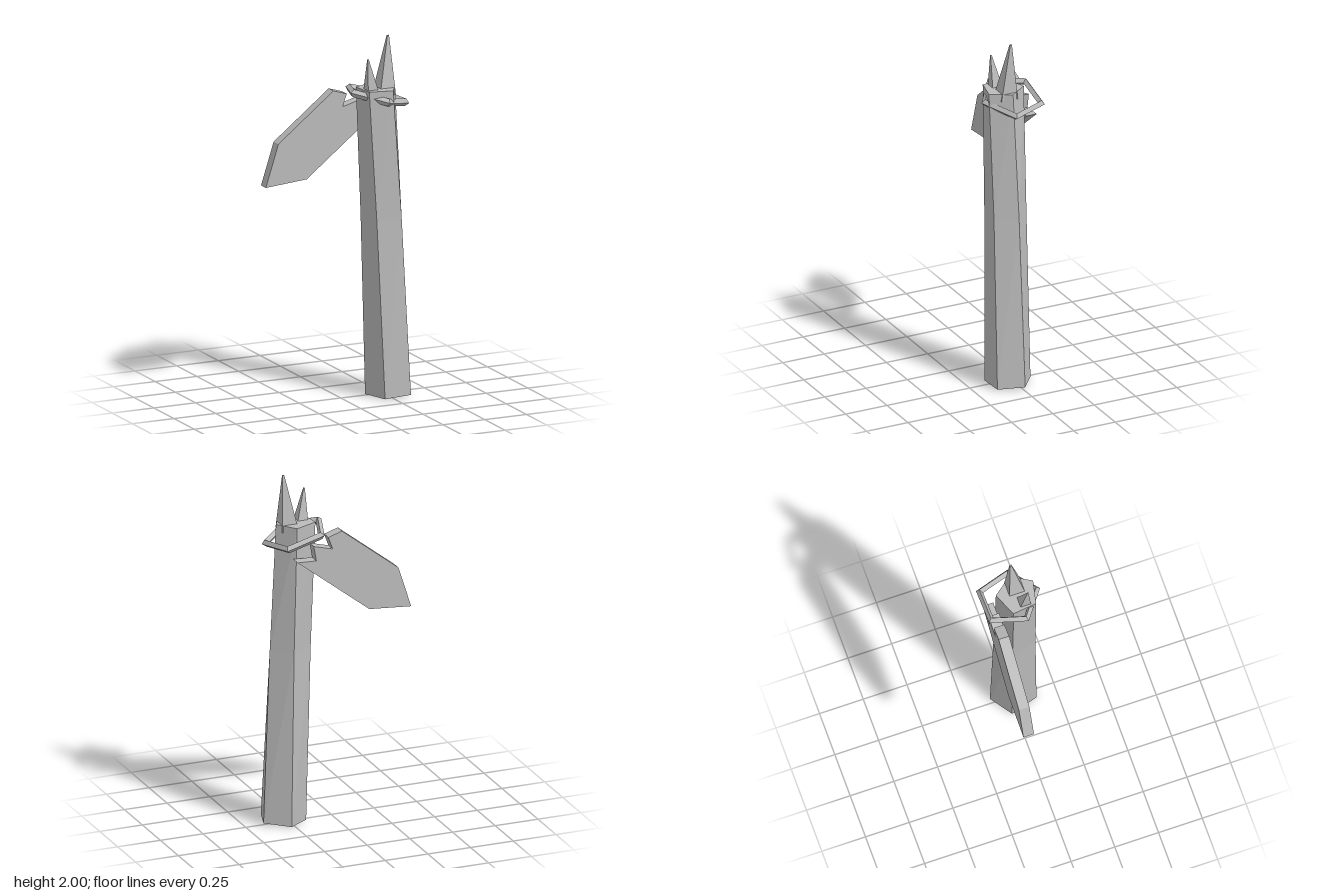
import * as THREE from 'three';

const grey = new THREE.MeshStandardMaterial({ color: 0xbbbbbb, side: THREE.DoubleSide });
grey.name = 'weathered grey';

function part(name, geometry) {
  const flat = geometry.index ? geometry.toNonIndexed() : geometry;
  flat.computeVertexNormals();
  const mesh = new THREE.Mesh(flat, grey);
  mesh.name = name;
  return mesh;
}

// Leaning five-sided post: capped on top, open underneath
function postGeometry() {
  const bottom = [[0.155, 0.003, -0.02], [0.2, 0.005, 0.135], [0.355, 0.012, 0.135], [0.4, 0.015, -0.01], [0.275, 0.008, -0.105]];
  const top = [[0.105, 1.72, -0.03], [0.12, 1.72, 0.105], [0.25, 1.72, 0.133], [0.315, 1.72, 0.02], [0.235, 1.72, -0.085]];
  // Slightly pinched middle
  const middle = bottom.map((p, i) => {
    const m = p.map((v, k) => (v + top[i][k]) / 2);
    return [m[0], 1.0, 0.015 + (m[2] - 0.015) * 0.96];
  });
  const rings = [bottom, middle, top];
  const pos = [];
  for (let r = 0; r < 2; r++) {
    for (let i = 0; i < 5; i++) {
      const j = (i + 1) % 5;
      const [a, b, c, d] = [rings[r][i], rings[r][j], rings[r + 1][j], rings[r + 1][i]];
      pos.push(...a, ...b, ...c, ...a, ...c, ...d);
    }
  }
  for (let i = 1; i < 4; i++) pos.push(...top[0], ...top[i], ...top[i + 1]);
  const g = new THREE.BufferGeometry();
  g.setAttribute('position', new THREE.Float32BufferAttribute(pos, 3));
  return g;
}

// Square splinter whose top is drawn in to an off-centre point
function spikeGeometry(x0, x1, z0, z1, baseY, apex) {
  const g = new THREE.BoxGeometry(x1 - x0, 1, z1 - z0);
  const p = g.attributes.position;
  for (let i = 0; i < p.count; i++) {
    if (p.getY(i) > 0) p.setXYZ(i, apex[0] + p.getX(i) * 0.1, apex[1], apex[2] + p.getZ(i) * 0.1);
    else p.setXYZ(i, (x0 + x1) / 2 + p.getX(i), baseY, (z0 + z1) / 2 + p.getZ(i));
  }
  return g;
}

// Slanting board with a pointed lower end and a splintered upper end
function boardGeometry() {
  const outline = [
    [0, 1.695], [-0.33, 1.435], [-0.405, 1.2], [-0.16, 1.22], [0.26, 1.55],
    [0.15, 1.545], [0.165, 1.63], [0.055, 1.6], [0.08, 1.67],
  ].map(([x, y]) => new THREE.Vector2(x, y));
  const g = new THREE.ExtrudeGeometry(new THREE.Shape(outline), { depth: 0.06, bevelEnabled: false });
  return g.translate(0, 0, -0.151);
}

// Tilted five-sided hoop around the post head
function hoopGeometry() {
  return new THREE.TorusGeometry(0.17, 0.021, 4, 5)
    .rotateZ(Math.PI / 2)
    .rotateX(Math.PI / 2)
    .scale(1, 1, 0.95)
    .rotateZ(-0.27)
    .translate(0.217, 1.66, -0.02);
}

export function createModel() {
  const model = new THREE.Group();
  model.name = 'brokenSignpost';
  model.add(
    part('post', postGeometry()),
    part('largeSplinter', spikeGeometry(0.198, 0.293, -0.02, 0.078, 1.68, [0.275, 2.0, 0.014])),
    part('smallSplinter', spikeGeometry(0.127, 0.195, 0.012, 0.08, 1.69, [0.133, 1.89, 0.062])),
    part('board', boardGeometry()),
    part('hoop', hoopGeometry()),
  );
  return model;
}
